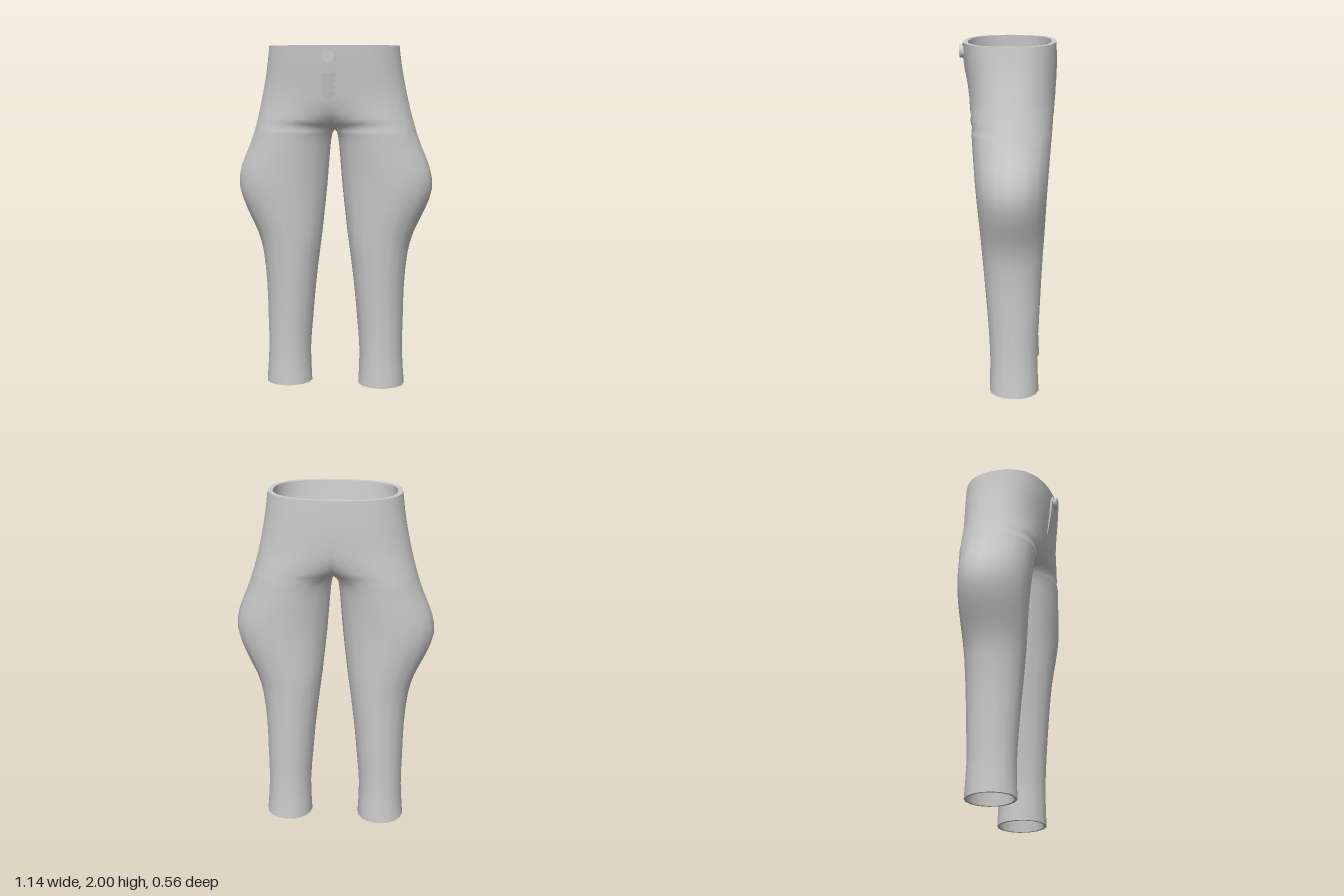
import * as THREE from 'three';
import { mergeGeometries, mergeVertices } from 'three/addons/utils/BufferGeometryUtils.js';

const SIDES = 16;

// Half sections: height, outer x, inner x, front z, back z.
// A negative inner x means the two halves run into each other at x = 0.
const KEYS = [
  [0.00, 0.415, 0.140, 0.095, -0.190],
  [0.20, 0.402, 0.147, 0.092, -0.181],
  [0.40, 0.405, 0.132, 0.102, -0.188],
  [0.60, 0.410, 0.114, 0.118, -0.197],
  [0.80, 0.430, 0.090, 0.135, -0.207],
  [0.92, 0.463, 0.074, 0.145, -0.215],
  [1.05, 0.525, 0.060, 0.156, -0.222],
  [1.18, 0.569, 0.046, 0.167, -0.229],
  [1.30, 0.555, 0.036, 0.177, -0.237],
  [1.42, 0.507, 0.026, 0.186, -0.246],
  [1.50, 0.478, 0.014, 0.192, -0.252],
  [1.52, 0.472, 0.000, 0.194, -0.254],
  [1.56, 0.460, -0.060, 0.198, -0.257],
  [1.62, 0.443, -0.150, 0.204, -0.263],
  [1.70, 0.424, -0.290, 0.214, -0.270],
  [1.80, 0.403, -0.385, 0.228, -0.277],
  [1.90, 0.386, -0.386, 0.241, -0.278],
  [2.00, 0.374, -0.374, 0.250, -0.275],
];

// Smooth interpolation of the sections by height
function sectionAt(y) {
  let k = 0;
  while (k < KEYS.length - 2 && y > KEYS[k + 1][0]) k++;
  const a = KEYS[k], b = KEYS[k + 1], h = b[0] - a[0], t = (y - a[0]) / h;
  const slope = (i, c) => {
    const p = KEYS[Math.max(i - 1, 0)], q = KEYS[Math.min(i + 1, KEYS.length - 1)];
    return (q[c] - p[c]) / (q[0] - p[0]);
  };
  return [1, 2, 3, 4].map((c) => {
    const t2 = t * t, t3 = t2 * t;
    return a[c] * (2 * t3 - 3 * t2 + 1) + b[c] * (3 * t2 - 2 * t3)
      + h * (slope(k, c) * (t3 - 2 * t2 + t) + slope(k + 1, c) * (t3 - t2));
  });
}

// One row of points from the front seam round the outside to the back seam
function ring(y, inset = 0, shrink = 1, height = y) {
  const [outer, inner, front, back] = sectionAt(y);
  const n = 2 + 0.45 * THREE.MathUtils.smoothstep(y, 1.4, 1.9);
  const cx = Math.max(0, (outer + inner) / 2), cz = (front + back) / 2;
  const rx = outer - cx - inset, rz = (front - back) / 2 - inset;
  const start = Math.acos(-Math.pow(Math.min(1, cx / rx), n / 2));
  const bend = (v) => Math.sign(v) * Math.pow(Math.abs(v), 2 / n);
  const row = [];
  for (let j = 0; j <= SIDES; j++) {
    const a = start * (1 - (2 * j) / SIDES);
    const x = cx + rx * shrink * bend(Math.cos(a));
    row.push([Math.abs(x) < 1e-4 ? 0 : x, height, cz + rz * shrink * bend(Math.sin(a))]);
  }
  return row;
}

// Skin over rows of points
function loft(rows, side = 1) {
  const w = rows[0].length, index = [];
  for (let r = 0; r < rows.length - 1; r++) {
    for (let j = 0; j < w - 1; j++) {
      const a = r * w + j, b = a + 1, c = a + w, d = c + 1;
      if (side > 0) index.push(a, b, d, a, d, c);
      else index.push(a, d, b, a, c, d);
    }
  }
  const g = new THREE.BufferGeometry();
  const points = rows.flat().flatMap(([x, y, z]) => [x * side, y, z]);
  g.setAttribute('position', new THREE.Float32BufferAttribute(points, 3));
  g.setIndex(index);
  return g;
}

// Both mirrored halves, welded for smooth shading
function bothHalves(rows) {
  const g = mergeVertices(mergeGeometries([loft(rows, 1), loft(rows, -1)]), 1e-4);
  g.computeVertexNormals();
  return g;
}

export function createModel() {
  const group = new THREE.Group();
  const cloth = new THREE.MeshStandardMaterial({ color: 0xcccccc, side: THREE.DoubleSide });
  cloth.name = 'grey cloth';
  const add = (name, geometry) => {
    const mesh = new THREE.Mesh(geometry, cloth);
    mesh.name = name;
    group.add(mesh);
    return mesh;
  };

  // Outer cloth: both legs joined at the hips
  const heights = [];
  for (let k = 0; k < KEYS.length - 1; k++) {
    const steps = KEYS[k + 1][0] - KEYS[k][0] > 0.05 ? 2 : 1;
    for (let s = 0; s < steps; s++) heights.push(THREE.MathUtils.lerp(KEYS[k][0], KEYS[k + 1][0], s / steps));
  }
  heights.push(2);
  add('trouserCloth', bothHalves(heights.map((y) => ring(y))));

  // Waist: flat rim, inner wall and a shallow bowl inside
  add('waistRim', bothHalves([ring(2), ring(2, 0.028)]));
  add('waistInnerWall', bothHalves([ring(2, 0.028), ring(1.95, 0.03), ring(1.89, 0.032)]));
  add('waistFloor', bothHalves([1, 0.75, 0.5, 0.25, 0].map(
    (s) => ring(1.89, 0.032, s, 1.89 - 0.06 * (1 - s * s)))));

  // Hems: flat rim, inner wall and closed end inside each leg
  add('hemRims', bothHalves([ring(0, 0.015), ring(0)]));
  add('legLinings', bothHalves([
    ring(0.3, 0.015, 0, 0.33), ring(0.3, 0.015, 0.6, 0.32), ring(0.3, 0.015),
    ring(0.15, 0.015), ring(0, 0.015)]));

  // Fly flap with a raised edge on the right, blending into the cloth on the left
  const flyRows = [];
  for (let i = 0; i <= 8; i++) {
    const t = i / 8, y = 1.71 + 0.27 * t;
    const edge = t > 0.85 ? -0.022 - 0.027 * (1 - t) / 0.15 : -0.035 - 0.014 * t / 0.85;
    const z = ring(y)[0][2], lift = 0.004 + 0.008 * Math.min(1, t * 2);
    flyRows.push([[edge, y, z - 0.015], [edge, y, z + lift - 0.002], [0, y, z + lift], [0.06, y, z - 0.008]]);
  }
  const fly = loft(flyRows).toNonIndexed();
  fly.computeVertexNormals();
  add('flyFlap', fly);

  // Waist button
  const button = add('button', new THREE.CylinderGeometry(0.036, 0.036, 0.026, 16));
  button.rotation.set(Math.PI / 2, 0, -0.08);
  button.position.set(0, 1.94, 0.262);

  return group;
}
